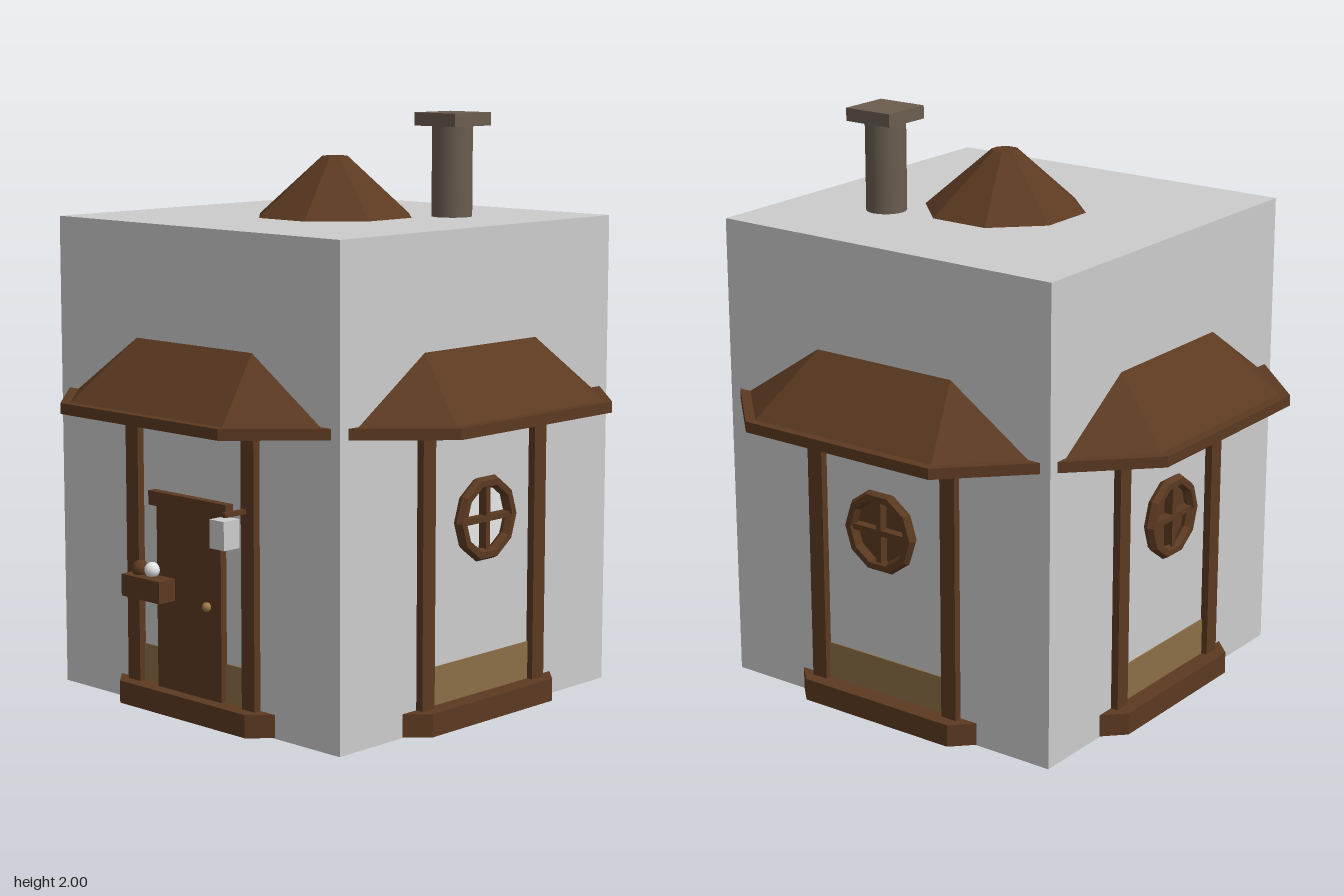
import * as THREE from 'three';

const mat = (name, color) => {
  const m = new THREE.MeshStandardMaterial({ color });
  m.name = name;
  return m;
};

export function createModel() {
  const wall = mat('pale grey wall', 0xcccccc);
  const wood = mat('dark wood', 0x5c3a21);
  const tan = mat('tan skirting', 0x8b6f47);
  const stone = mat('chimney stone', 0x6b5d4f);
  const brass = mat('brass', 0xa07a48);
  const white = mat('white', 0xeeeeee);
  const hut = new THREE.Group();
  hut.name = 'hut';

  const add = (parent, name, geo, material, x = 0, y = 0, z = 0) => {
    const mesh = new THREE.Mesh(geo, material);
    mesh.name = name;
    mesh.position.set(x, y, z);
    parent.add(mesh);
    return mesh;
  };
  // Box given by its limits
  const box = (parent, name, material, x0, x1, y0, y1, z0, z1) =>
    add(parent, name, new THREE.BoxGeometry(x1 - x0, y1 - y0, z1 - z0), material,
      (x0 + x1) / 2, (y0 + y1) / 2, (z0 + z1) / 2);
  const flat = (geo) => {
    const g = geo.toNonIndexed();
    g.computeVertexNormals();
    return g;
  };
  // Octagonal frustum with flat sides towards the axes, sized by apothem
  const octagon = (name, top, bottom, y0, y1) => {
    const k = 1 / Math.cos(Math.PI / 8);
    const geo = new THREE.CylinderGeometry(top * k, bottom * k, y1 - y0, 8);
    geo.rotateY(Math.PI / 8);
    return add(hut, name, flat(geo), wood, 0, (y0 + y1) / 2, 0);
  };

  // Body, plinth and roof
  box(hut, 'body', wall, -0.67, 0.67, 0, 1.645, -0.67, 0.67);
  octagon('plinth', 0.74, 0.74, 0.002, 0.08);
  octagon('eaves', 0.92, 0.92, 1.015, 1.052);
  octagon('roof', 0.043, 0.887, 1.052, 1.85);

  // Chimney
  add(hut, 'chimney', new THREE.CylinderGeometry(0.07, 0.07, 0.46, 24), stone, 0.312, 1.73, -0.255);
  box(hut, 'chimneyCap', stone, 0.22, 0.405, 1.955, 2, -0.348, -0.163);

  // Four sides: posts and skirting, with round windows on all but the front
  ['front', 'left', 'back', 'right'].forEach((sideName, i) => {
    const side = new THREE.Group();
    side.name = sideName + 'Side';
    side.rotation.y = i * Math.PI / 2;
    hut.add(side);
    for (const s of [-1, 1]) {
      box(side, 'post', wood, s * 0.28 - 0.03, s * 0.28 + 0.03, 0.07, 1.02, 0.64, 0.697);
    }
    box(side, 'skirting', tan, -0.25, 0.25, 0.08, 0.21, 0.667, 0.675);
    if (i === 0) return;

    const win = new THREE.Group();
    win.name = 'roundWindow';
    win.position.set(0, 0.68, 0.695);
    side.add(win);
    add(win, 'windowFrame', flat(new THREE.TorusGeometry(0.126, 0.022, 6, 10)), wood);
    add(win, 'windowPane', new THREE.CircleGeometry(0.126, 10), i === 1 ? white : wood, 0, 0, -0.022);
    box(win, 'windowBar', wood, -0.01, 0.01, -0.125, 0.125, -0.02, 0.012);
    box(win, 'windowBar', wood, -0.125, 0.125, -0.01, 0.01, -0.02, 0.012);
  });

  // Door
  box(hut, 'door', wood, -0.16, 0.152, 0.075, 0.705, 0.66, 0.695);
  box(hut, 'doorLintel', wood, -0.193, 0.185, 0.703, 0.752, 0.66, 0.702);
  add(hut, 'doorKnob', new THREE.SphereGeometry(0.016, 10, 8), brass, 0.09, 0.397, 0.702);

  // Flower box
  box(hut, 'flowerBox', wood, -0.26, -0.072, 0.39, 0.465, 0.68, 0.767);
  add(hut, 'flower', new THREE.SphereGeometry(0.03, 10, 8), wood, -0.217, 0.482, 0.72);
  add(hut, 'flower', new THREE.SphereGeometry(0.027, 10, 8), white, -0.163, 0.485, 0.715);

  // Lantern on its bracket
  box(hut, 'lanternBracket', wood, 0.258, 0.276, 0.735, 0.75, 0.68, 0.79);
  box(hut, 'lantern', wall, 0.233, 0.3, 0.635, 0.73, 0.75, 0.82);

  return hut;
}
